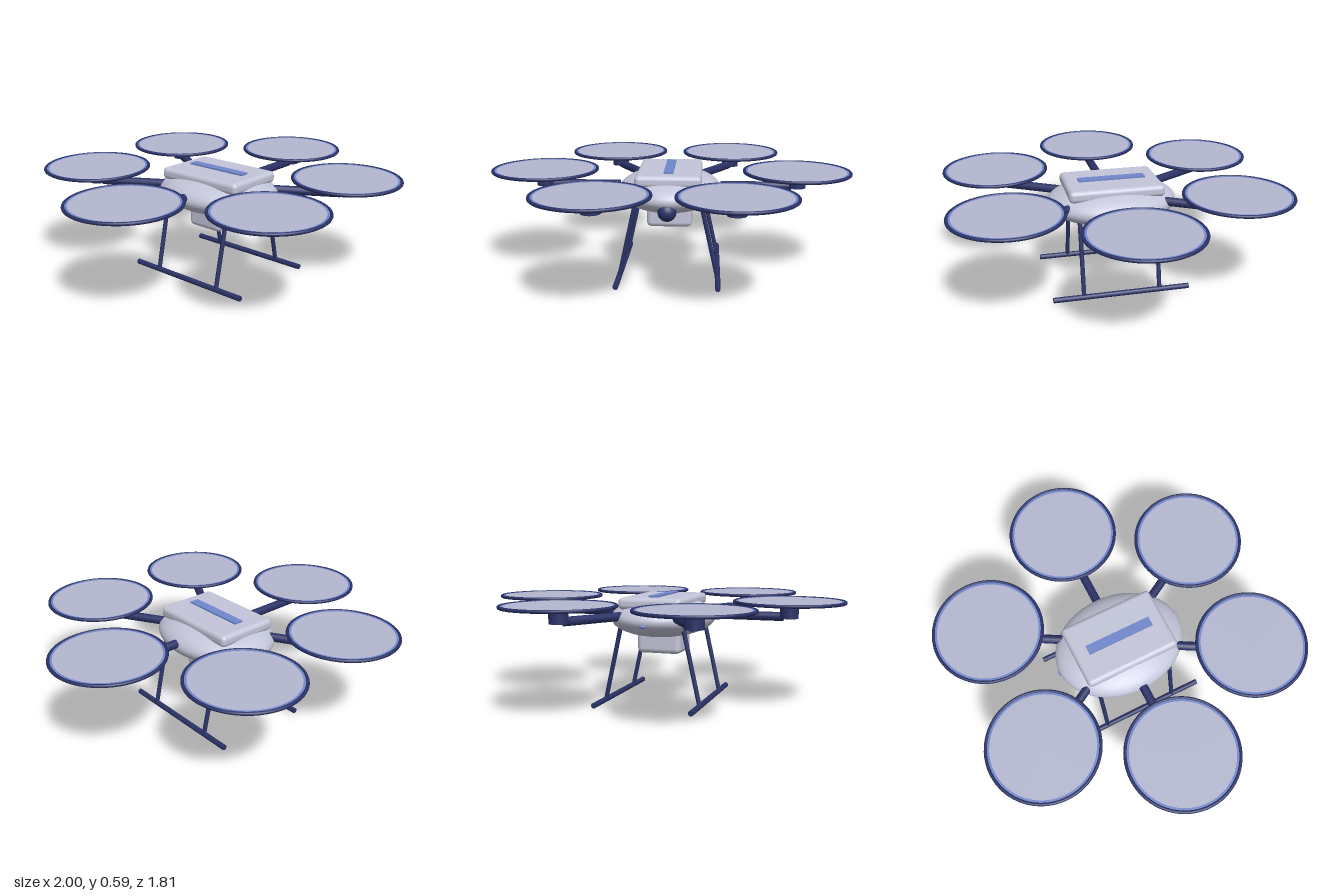
import * as THREE from 'three';
import { RoundedBoxGeometry } from 'three/addons/geometries/RoundedBoxGeometry.js';

export function createModel() {
  const mat = (name, color) => {
    const m = new THREE.MeshStandardMaterial({ color });
    m.name = name;
    return m;
  };
  const shell = mat('pale shell', 0xc3c5d9);
  const disc = mat('rotor grey', 0xb4b7cf);
  const navy = mat('navy frame', 0x2a3266);
  const blue = mat('blue accent', 0x7187cc);

  const model = new THREE.Group();
  model.name = 'hexacopter';

  const add = (parent, name, geo, material, x = 0, y = 0, z = 0) => {
    const mesh = new THREE.Mesh(geo, material);
    mesh.name = name;
    mesh.position.set(x, y, z);
    parent.add(mesh);
    return mesh;
  };

  // Round rod between two points
  const rod = (parent, name, a, b, r, material) => {
    const from = new THREE.Vector3(...a), to = new THREE.Vector3(...b);
    const dir = to.clone().sub(from);
    const mesh = add(parent, name, new THREE.CylinderGeometry(r, r, dir.length(), 16), material);
    mesh.position.copy(from).add(to).multiplyScalar(0.5);
    mesh.quaternion.setFromUnitVectors(new THREE.Vector3(0, 1, 0), dir.normalize());
    return mesh;
  };

  // Body, top cover and accent stripe
  const body = add(model, 'body', new THREE.SphereGeometry(1, 48, 32), shell, 0, 0.47, 0);
  body.scale.set(0.285, 0.11, 0.36);
  add(model, 'topCover', new RoundedBoxGeometry(0.355, 0.065, 0.525, 4, 0.025), shell, 0, 0.557, 0);
  add(model, 'coverStripe', new THREE.BoxGeometry(0.052, 0.012, 0.37), blue, 0, 0.592, 0);

  // Payload box under the body with two small nubs
  add(model, 'payloadBox', new RoundedBoxGeometry(0.25, 0.15, 0.22, 4, 0.028), shell, 0, 0.346, 0);
  for (const s of [-1, 1]) {
    add(model, 'payloadNub', new THREE.SphereGeometry(0.011, 12, 8), navy, s * 0.085, 0.274, 0);
  }

  // Front camera ball and rear light
  add(model, 'cameraBall', new THREE.SphereGeometry(0.05, 20, 14), navy, 0, 0.416, 0.322);
  const light = add(model, 'rearLight', new THREE.SphereGeometry(1, 16, 10), blue, 0, 0.45, -0.352);
  light.scale.set(0.02, 0.01, 0.014);

  // Six arms, each with a motor and a ringed rotor disc; local +x points outwards
  const y = 0.57;
  for (let i = 0; i < 6; i++) {
    const unit = new THREE.Group();
    unit.name = 'rotorUnit' + (i + 1);
    unit.rotation.y = i * Math.PI / 3;
    model.add(unit);

    rod(unit, 'arm', [0.28, 0.49, 0], [0.67, 0.49, 0], 0.024, navy);
    add(unit, 'motor', new THREE.CylinderGeometry(0.05, 0.05, 0.065, 24), navy, 0.7, 0.514, 0);
    add(unit, 'motorHub', new THREE.CylinderGeometry(0.029, 0.029, 0.024, 20), shell, 0.7, 0.557, 0);
    add(unit, 'rotorDisc', new THREE.CylinderGeometry(0.288, 0.288, 0.006, 64), disc, 0.7, y, 0);
    const guard = add(unit, 'rotorGuard', new THREE.TorusGeometry(0.289, 0.009, 10, 64), navy, 0.7, y, 0);
    guard.rotation.x = Math.PI / 2;
    const trim = add(unit, 'rotorTrim', new THREE.RingGeometry(0.27, 0.283, 64), blue, 0.7, y + 0.0045, 0);
    trim.rotation.x = -Math.PI / 2;
  }

  // Splayed landing legs on two skids
  for (const s of [-1, 1]) {
    for (const z of [-0.212, 0.212]) {
      rod(model, 'landingLeg', [s * 0.175, 0.44, z], [s * 0.27, 0.014, z], 0.012, navy);
    }
    rod(model, 'skid', [s * 0.27, 0.018, -0.38], [s * 0.27, 0.018, 0.38], 0.015, navy);
  }

  return model;
}
